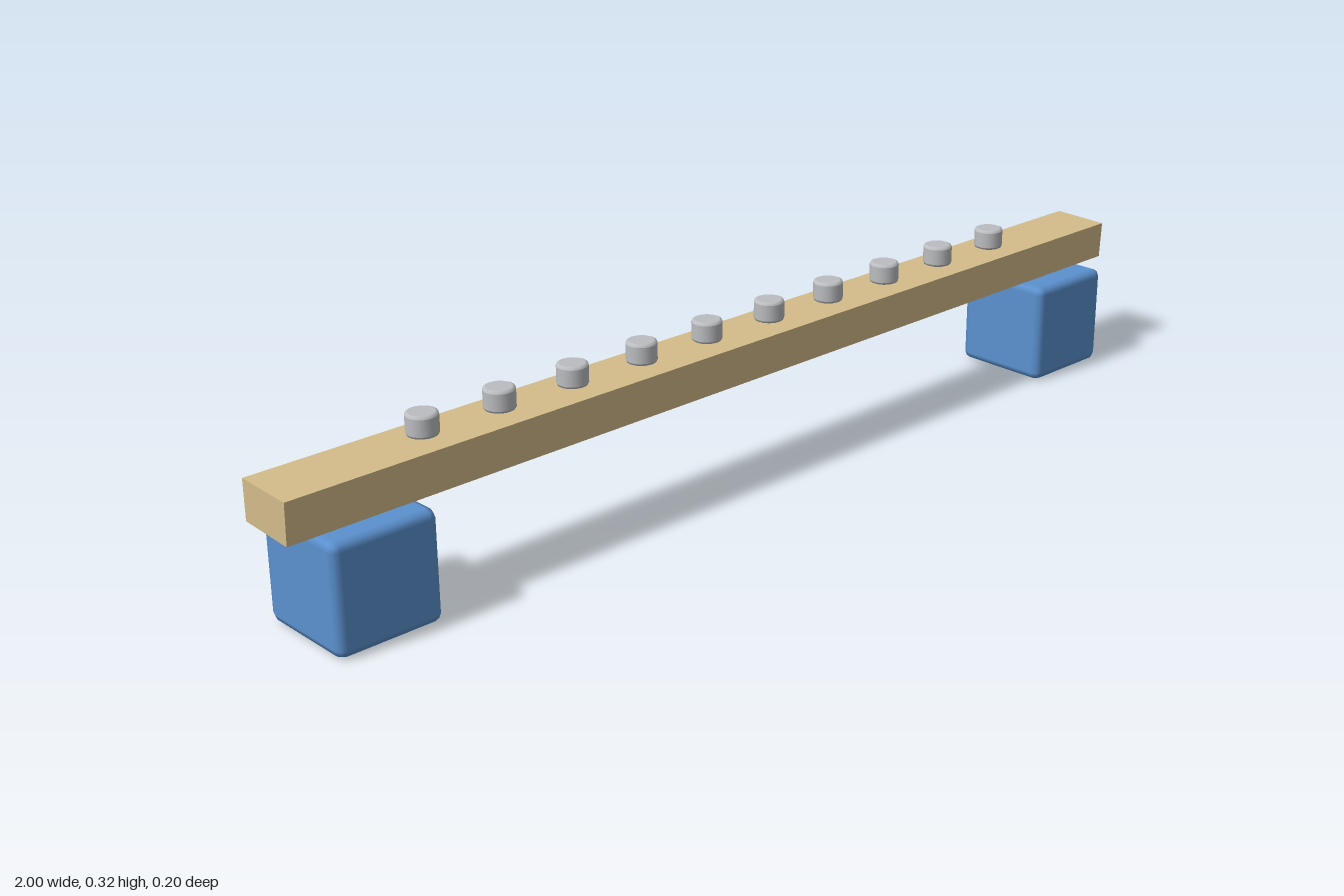
import * as THREE from 'three';
import { RoundedBoxGeometry } from 'three/addons/geometries/RoundedBoxGeometry.js';

const mat = (name, color) => new THREE.MeshStandardMaterial({ name, color });

// Beam with slightly uneven ends: corners (y, z) are set per end
function beamGeometry() {
  const ends = {
    '-1': { top: [0.279, 0.276], bottom: [0.206, 0.201], back: -0.057, front: 0.057 },
    '1': { top: [0.28, 0.278], bottom: [0.205, 0.205], back: -0.056, front: 0.055 },
  };
  const geo = new THREE.BoxGeometry(2, 1, 1);
  const p = geo.attributes.position;
  for (let i = 0; i < p.count; i++) {
    const e = ends[Math.sign(p.getX(i))];
    const front = p.getZ(i) > 0, top = p.getY(i) > 0;
    p.setY(i, (top ? e.top : e.bottom)[front ? 1 : 0]);
    p.setZ(i, front ? e.front + (top ? 0.002 : -0.001) : e.back);
  }
  geo.computeVertexNormals();
  return geo;
}

// Short pin with softened rims
function pegGeometry() {
  const r = 0.028, h = 0.04, b = 0.005;
  const profile = [[0, 0], [r - b, 0], [r - b, 0], [r - b * 0.3, b * 0.3], [r, b],
    [r, b], [r, h - b], [r, h - b], [r - b * 0.3, h - b * 0.3], [r - b, h], [r - b, h], [0, h]];
  return new THREE.LatheGeometry(profile.map(([x, y]) => new THREE.Vector2(x, y)), 24);
}

export function createModel() {
  const model = new THREE.Group();
  model.name = 'pegBeam';
  const blue = mat('blue', 0x5b91cf);
  const wood = mat('wood', 0xd4bc8a);
  const metal = mat('metal', 0xbcbdc0);

  // Support blocks with chamfered edges
  const block = new RoundedBoxGeometry(0.2, 0.2, 0.2, 1, 0.016);
  for (const side of [-1, 1]) {
    const mesh = new THREE.Mesh(block, blue);
    mesh.name = side > 0 ? 'leftBlock' : 'rightBlock';
    mesh.position.set(side * 0.85, 0.1, 0);
    model.add(mesh);
  }

  // Beam
  const beam = new THREE.Mesh(beamGeometry(), wood);
  beam.name = 'beam';
  model.add(beam);

  // Row of pegs
  const pegs = new THREE.Group();
  pegs.name = 'pegs';
  const peg = pegGeometry();
  for (let i = 0; i < 10; i++) {
    const mesh = new THREE.Mesh(peg, metal);
    mesh.name = 'peg' + (i + 1);
    mesh.position.set(-0.703 + i * 0.1555, 0.282, 0);
    pegs.add(mesh);
  }
  model.add(pegs);
  return model;
}
